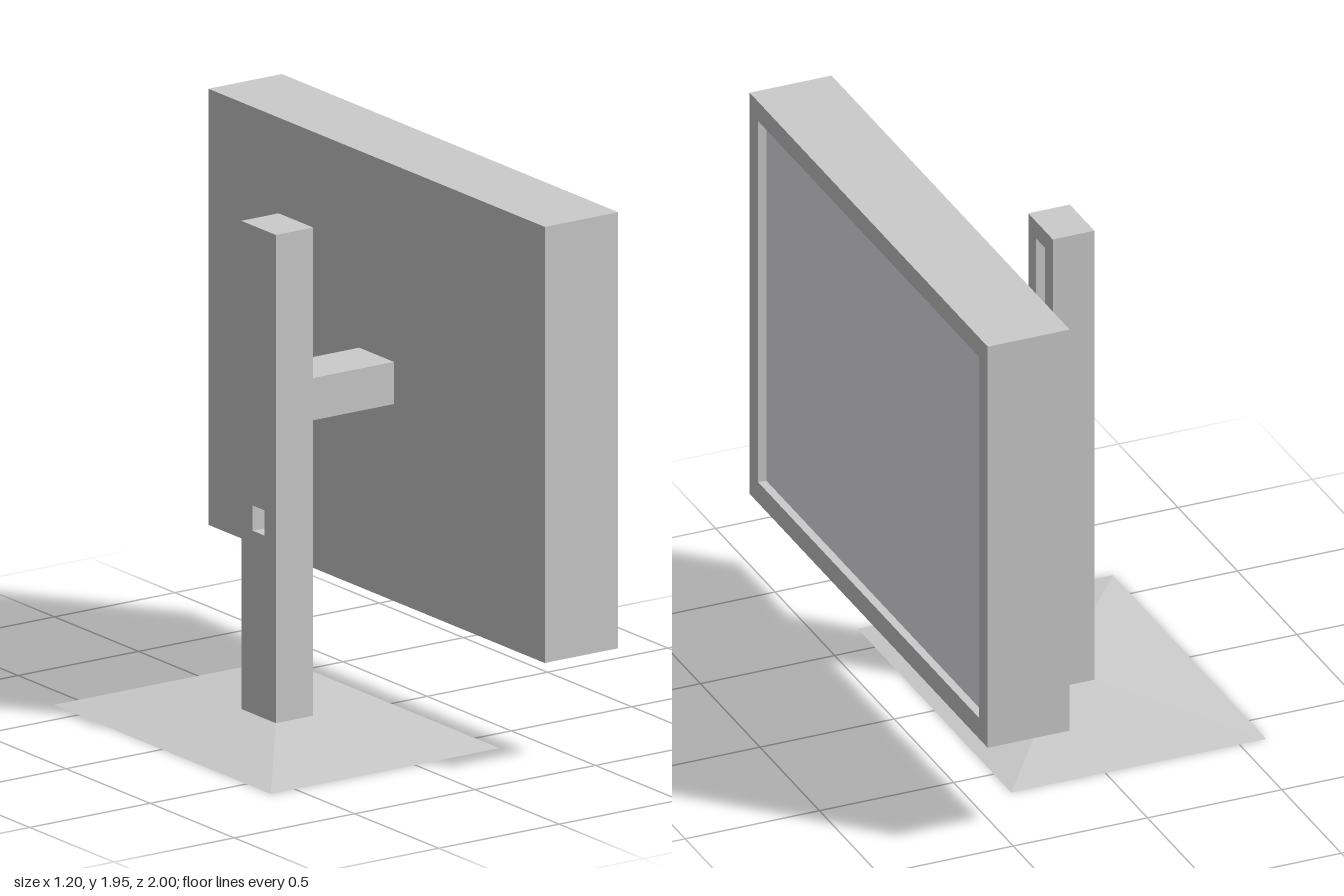
import * as THREE from 'three';

const grey = new THREE.MeshStandardMaterial({ color: 0xcccccc, flatShading: true });
const pale = new THREE.MeshStandardMaterial({ color: 0xebe9f0, flatShading: true });

function add(parent, name, geometry, material = grey) {
  const mesh = new THREE.Mesh(geometry, material);
  mesh.name = name;
  parent.add(mesh);
}

// Box from its min and max corners
function block(x0, x1, y0, y1, z0, z1) {
  return new THREE.BoxGeometry(x1 - x0, y1 - y0, z1 - z0)
    .translate((x0 + x1) / 2, (y0 + y1) / 2, (z0 + z1) / 2);
}

// Rectangle centred on z = 0, as [halfWidth, y0, y1]
function rect(Type, [w, y0, y1]) {
  const p = new Type();
  p.moveTo(-w, y0);
  p.lineTo(w, y0);
  p.lineTo(w, y1);
  p.lineTo(-w, y1);
  p.closePath();
  return p;
}

// Rectangular slab with rectangular holes, extruded along x from x0 to x1
function slab(x0, x1, outer, holes) {
  const shape = rect(THREE.Shape, outer);
  shape.holes = holes.map((h) => rect(THREE.Path, h));
  return new THREE.ExtrudeGeometry(shape, { depth: x1 - x0, bevelEnabled: false })
    .rotateY(Math.PI / 2).translate(x0, 0, 0);
}

// Foot: a box whose top is drawn in to the column's footprint
function footGeometry() {
  const geo = new THREE.BoxGeometry(1, 1, 1);
  const p = geo.attributes.position;
  for (let i = 0; i < p.count; i++) {
    const top = p.getY(i) > 0;
    const right = p.getX(i) > 0;
    const x = top ? (right ? -0.05 : -0.2) : (right ? 0.35 : -0.6);
    p.setXYZ(i, x, top ? 0.05 : 0, Math.sign(p.getZ(i)) * (top ? 0.103 : 0.645));
  }
  geo.computeVertexNormals();
  return geo;
}

export function createModel() {
  const model = new THREE.Group();
  model.name = 'monitor';

  // Stand: foot, column with cable hole and slide groove, arm
  const stand = new THREE.Group();
  stand.name = 'stand';
  model.add(stand);
  add(stand, 'foot', footGeometry());
  const outline = [0.103, 0.05, 1.785];
  const cableHole = [0.035, 0.7, 0.79];
  const groove = [0.04, 0.95, 1.72];
  add(stand, 'columnBack', slab(-0.2, -0.08, outline, [cableHole]));
  add(stand, 'columnFront', slab(-0.08, -0.045, outline, [cableHole, groove]));
  add(stand, 'arm', block(-0.045, 0.29, 1.1, 1.25, -0.103, 0.103));

  // Display: housing, raised bezel, recessed screen
  const display = new THREE.Group();
  display.name = 'display';
  model.add(display);
  add(display, 'housing', block(0.29, 0.56, 0.4, 1.95, -1, 1));
  add(display, 'bezel', slab(0.56, 0.595, [1, 0.4, 1.95], [[0.928, 0.48, 1.875]]));
  add(display, 'screen', block(0.56, 0.565, 0.48, 1.875, -0.928, 0.928), pale);

  return model;
}
